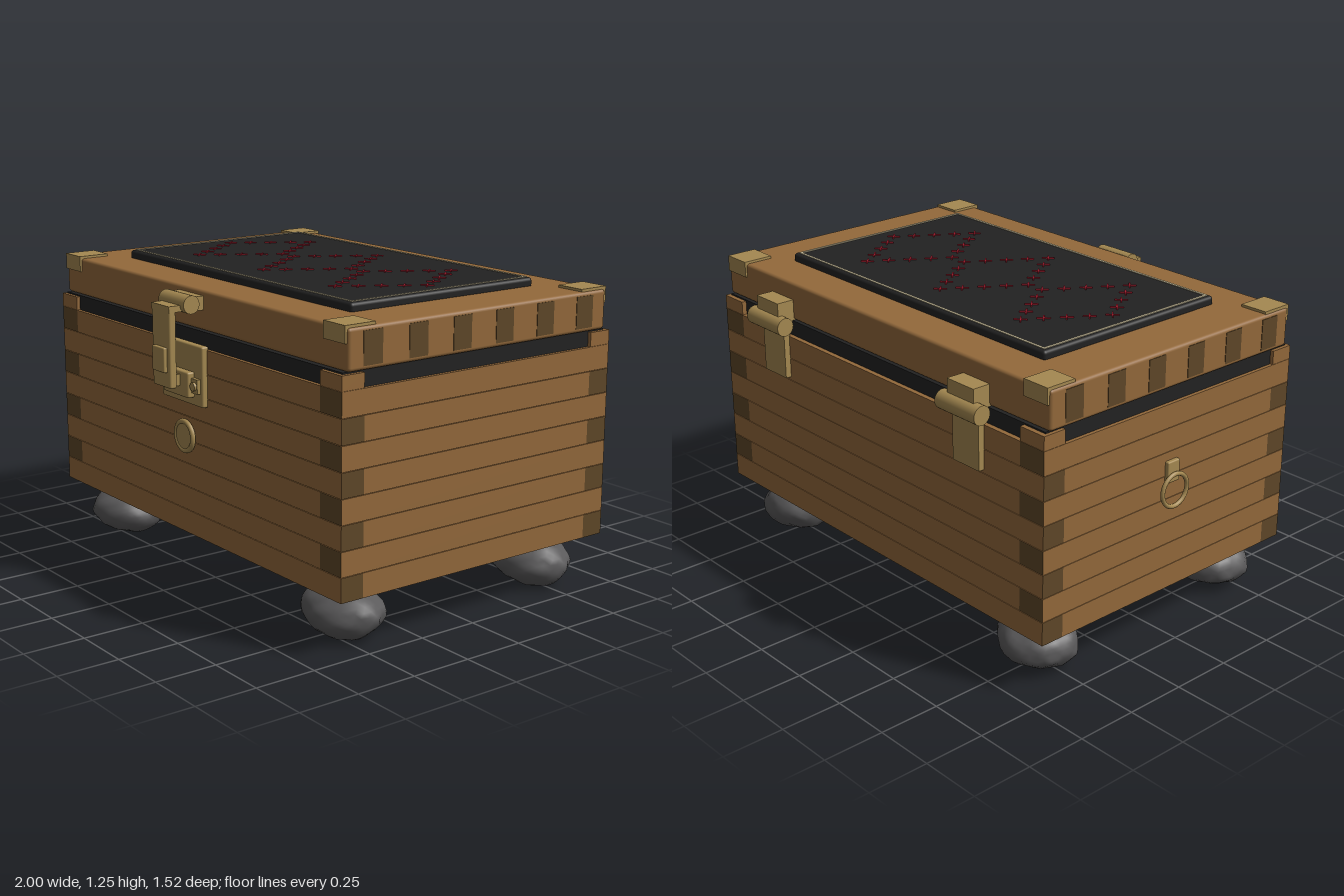
import * as THREE from 'three';
import { mergeVertices } from 'three/addons/utils/BufferGeometryUtils.js';
import { RoundedBoxGeometry } from 'three/addons/geometries/RoundedBoxGeometry.js';

const mat = (name, color) => Object.assign(new THREE.MeshStandardMaterial({ color }), { name });

export function createModel() {
  const wood = mat('wood', 0x93693b);
  const endGrain = mat('end grain', 0x5f4728);
  const brass = mat('brass', 0xa58951);
  const black = mat('black cloth', 0x222222);
  const cream = mat('cream trim', 0xbfb493);
  const red = mat('red thread', 0xa81f30);
  const stone = mat('stone', 0x5b5a5b);

  const model = new THREE.Group();
  model.name = 'chest';
  const CX = 0.015, CZ = -0.025; // centre of the box itself
  const X0 = -0.967, X1 = 0.997, Z0 = -0.68, Z1 = 0.63;
  const TX = 0.123, TZ = 0.1; // wall thicknesses

  const add = (name, geometry, material, parent = model) => {
    const mesh = new THREE.Mesh(geometry, material);
    mesh.name = name;
    parent.add(mesh);
    return mesh;
  };
  const group = (name) => {
    const g = new THREE.Group();
    g.name = name;
    model.add(g);
    return g;
  };
  // Box given by its two extreme corners, optionally rounded
  const box = (name, material, x0, x1, y0, y1, z0, z1, parent = model, r = 0) => {
    const size = [x1 - x0, y1 - y0, z1 - z0];
    const g = r ? new RoundedBoxGeometry(...size, 3, r) : new THREE.BoxGeometry(...size);
    g.translate((x0 + x1) / 2, (y0 + y1) / 2, (z0 + z1) / 2);
    return add(name, g, material, parent);
  };
  // Cylinder lying along x or z
  const rod = (name, material, axis, r, length, x, y, z, parent = model) => {
    const g = new THREE.CylinderGeometry(r, r, length, 24);
    if (axis === 'x') g.rotateZ(Math.PI / 2);
    else g.rotateX(Math.PI / 2);
    return add(name, g.translate(x, y, z), material, parent);
  };

  // Finger-jointed walls: the long planks alternate between the two directions
  const walls = group('walls');
  const endsX = [endGrain, endGrain, wood, wood, wood, wood];
  const endsZ = [wood, wood, wood, wood, endGrain, endGrain];
  const rows = 8, rowH = (0.993 - 0.22) / rows;
  for (let i = 0; i < rows; i++) {
    const y0 = 0.22 + i * rowH, y1 = y0 + rowH - 0.002;
    const xLong = i % 2 === 0;
    const ix = xLong ? 0 : TX, iz = xLong ? TZ : 0;
    const mx = xLong ? endsX : wood, mz = xLong ? wood : endsZ;
    box('frontPlank', mx, X0 + ix, X1 - ix, y0, y1, Z1 - TZ, Z1, walls);
    box('backPlank', mx, X0 + ix, X1 - ix, y0, y1, Z0, Z0 + TZ, walls);
    box('leftPlank', mz, X1 - TX, X1, y0, y1, Z0 + iz, Z1 - iz, walls);
    box('rightPlank', mz, X0, X0 + TX, y0, y1, Z0 + iz, Z1 - iz, walls);
  }
  box('innerCore', wood, X0 + 0.01, X1 - 0.01, 0.225, 0.98, Z0 + 0.01, Z1 - 0.01);
  box('base', wood, -0.883, 0.913, 0.19, 0.24, -0.58, 0.53, model, 0.014);
  box('liner', black, X0 + 0.015, X1 - 0.015, 0.97, 1.054, Z0 + 0.02, Z1 - 0.015);
  for (const [a, b] of [[X0, X0 + TX], [X1 - TX, X1]])
    for (const [c, d] of [[Z0, Z0 + TZ], [Z1 - TZ, Z1]])
      box('cornerPost', wood, a, b, 0.992, 1.048, c, d, walls);

  // Lid with inlaid end-grain blocks on both ends
  const lid = group('lid');
  box('lidBoard', wood, X0, X1, 1.054, 1.21, -0.652, 0.602, lid, 0.014);
  for (let i = 0; i < 6; i++) {
    const z = 0.494 - i * 0.2065;
    for (const x of [X0, X1])
      box('lidInlay', endGrain, x - 0.002, x + 0.002, 1.07, 1.195, z - 0.043, z + 0.043, lid);
  }
  // Brass lid corners: a top plate and a folded-down lip
  for (const [a, b] of [[-0.96, -0.84], [0.864, 0.988]])
    for (const [c, d, e, f] of [[0.475, 0.61, 0.6, 0.61], [-0.66, -0.53, -0.66, -0.65]]) {
      box('cornerPlate', brass, a, b, 1.205, 1.22, c, d, lid);
      box('cornerLip', brass, a, b, 1.155, 1.22, e, f, lid);
    }

  // Cloth panel with trim and cross-stitched diamonds
  const panel = group('clothPanel');
  box('cloth', black, -0.748, 0.777, 1.2, 1.243, -0.477, 0.418, panel, 0.014);
  const [a, b, c, d, w] = [-0.73, 0.758, -0.462, 0.402, 0.011];
  box('trimBack', cream, a, b, 1.24, 1.246, c, c + w, panel);
  box('trimFront', cream, a, b, 1.24, 1.246, d - w, d, panel);
  box('trimRight', cream, a, a + w, 1.24, 1.246, c + w, d - w, panel);
  box('trimLeft', cream, b - w, b, 1.24, 1.246, c + w, d - w, panel);
  const thread = new THREE.BoxGeometry(0.052, 0.005, 0.006);
  for (const cx of [-0.45, CX, 0.478])
    for (let i = 0; i < 16; i++) {
      const u = (k) => Math.abs(((k + 32) % 16) - 8) / 4 - 1; // triangle wave -1..1
      for (const s of [-1, 1]) {
        const stitch = add('stitch', thread, red, panel);
        stitch.position.set(cx + u(i) * 0.193, 1.2455, -0.03 + u(i + 4) * 0.289);
        stitch.rotation.y = s * Math.PI / 4;
      }
    }

  // Front latch
  const latch = group('latch');
  box('latchPlate', brass, -0.13, 0.16, 0.765, 1.005, 0.62, 0.653, latch, 0.008);
  box('stapleBase', brass, -0.117, 0.147, 0.82, 0.877, 0.65, 0.668, latch);
  box('stapleBlock', brass, -0.075, 0.105, 0.798, 0.9, 0.65, 0.684, latch, 0.008);
  for (const s of [-1, 1]) rod('screw', brass, 'z', 0.017, 0.02, CX + s * 0.111, 0.848, 0.668, latch);
  rod('latchBarrel', brass, 'x', 0.036, 0.18, CX, 1.162, 0.66, latch);
  box('barrelMount', brass, -0.07, 0.1, 1.135, 1.19, 0.595, 0.65, latch);
  box('haspArm', brass, -0.048, 0.078, 1.135, 1.16, 0.66, 0.745, latch);
  box('haspStrap', brass, -0.048, 0.078, 0.838, 1.155, 0.713, 0.745, latch, 0.008);
  box('haspKnob', brass, -0.028, 0.058, 0.9, 0.998, 0.74, 0.76, latch, 0.005);
  box('haspTongue', brass, -0.02, 0.05, 0.84, 0.885, 0.68, 0.715, latch);

  // Round lock button
  const lock = group('lockButton');
  rod('lockDisc', brass, 'z', 0.056, 0.03, CX, 0.625, 0.637, lock);
  add('lockRim', new THREE.TorusGeometry(0.059, 0.011, 10, 32).translate(CX, 0.625, 0.645), brass, lock);

  // Back hinges
  for (const x of [CX - 0.597, CX + 0.597]) {
    const hinge = group('hinge');
    rod('hingeBarrel', brass, 'x', 0.038, 0.216, x, 1.048, -0.72, hinge);
    box('upperLeaf', brass, x - 0.072, x + 0.072, 1.05, 1.14, -0.728, -0.645, hinge);
    box('lowerLeaf', brass, x - 0.072, x + 0.072, 0.815, 1.05, -0.705, -0.675, hinge);
  }

  // Ring pull on the right end
  const pull = group('ringPull');
  box('ringMount', brass, -0.984, -0.96, 0.675, 0.763, -0.062, 0.002, pull, 0.006);
  const ring = new THREE.TorusGeometry(0.066, 0.009, 10, 32).rotateY(Math.PI / 2);
  add('ring', ring.translate(-0.991, 0.645, -0.03), brass, pull);

  // Rough stone feet
  const makeStone = (seed) => {
    let g = new THREE.IcosahedronGeometry(1, 5);
    g.deleteAttribute('normal');
    g.deleteAttribute('uv');
    g = mergeVertices(g, 1e-4);
    const p = g.attributes.position, v = new THREE.Vector3();
    for (let i = 0; i < p.count; i++) {
      v.fromBufferAttribute(p, i);
      const n = Math.sin(3.1 * v.x + seed * 2.3) * Math.sin(2.7 * v.y + seed) * 0.05
        + Math.sin(6.3 * v.z + 3 * v.x + seed * 1.7) * 0.028
        + Math.sin(9 * v.x - 7 * v.y + seed * 4.1) * Math.sin(8 * v.z + seed) * 0.03;
      v.multiplyScalar(0.98 + n);
      p.setXYZ(i, v.x * 0.177, v.y * 0.102, v.z * 0.149);
    }
    g.computeVertexNormals();
    g.computeBoundingBox();
    return g.translate(0, -g.boundingBox.min.y, 0);
  };
  [[-0.757, 0.455], [0.785, 0.455], [-0.757, -0.505], [0.785, -0.505]].forEach(([x, z], i) => {
    add('stoneFoot', makeStone(i * 1.9 + 1), stone).position.set(x, 0, z);
  });

  return model;
}
